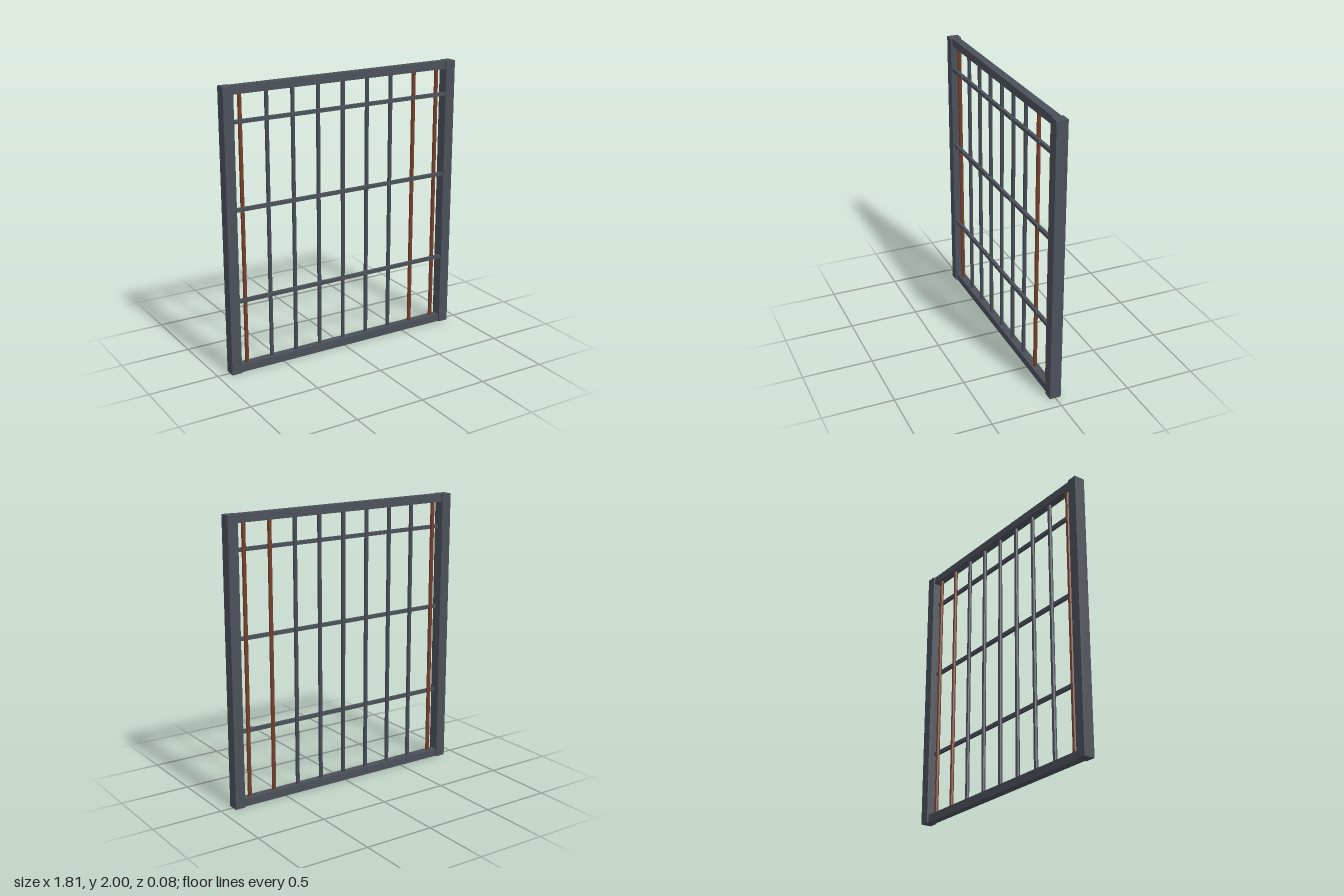
import * as THREE from 'three';

export function createModel() {
  const model = new THREE.Group();
  model.name = 'barredPanel';

  const mat = (name, color, flatShading = false) => {
    const m = new THREE.MeshStandardMaterial({ color, flatShading });
    m.name = name;
    return m;
  };
  const frameMat = mat('darkSteel', 0x4b5059);
  const barMat = mat('barSteel', 0x474c56, true);
  const rustMat = mat('rust', 0x74402b, true);

  const add = (name, geometry, material, x, y, z) => {
    const mesh = new THREE.Mesh(geometry, material);
    mesh.name = name;
    mesh.position.set(x, y, z);
    model.add(mesh);
    return mesh;
  };

  // Outer frame: two deep posts and two shallower rails
  const postGeo = new THREE.BoxGeometry(0.073, 2, 0.08);
  add('leftPost', postGeo, frameMat, 0.87, 1, 0);
  add('rightPost', postGeo, frameMat, -0.87, 1, 0);
  const railGeo = new THREE.BoxGeometry(1.68, 0.056, 0.056);
  add('topRail', railGeo, frameMat, 0, 1.972, 0);
  add('bottomRail', railGeo, frameMat, 0, 0.028, 0);

  // Nine upright bars, three of them rusted
  const barGeo = new THREE.CylinderGeometry(0.0145, 0.0145, 1.9, 8);
  const rusted = [-4, 3, 4];
  for (let i = -4; i <= 4; i++) {
    const isRusted = rusted.includes(i);
    add(isRusted ? 'rustedBar' : 'uprightBar', barGeo, isRusted ? rustMat : barMat, i * 0.1935, 1, 0);
  }

  // Flat crossbars in front of the uprights, with small rivets
  const crossGeo = new THREE.BoxGeometry(1.67, 0.025, 0.023);
  const rivetGeo = new THREE.CylinderGeometry(0.009, 0.009, 0.008, 8).rotateX(Math.PI / 2);
  for (const y of [0.525, 1.17, 1.763]) {
    add('crossbar', crossGeo, frameMat, 0, y, 0.0185);
    for (const x of [-0.65, -0.217, 0.217, 0.65]) {
      add('rivet', rivetGeo, frameMat, x, y, 0.03);
    }
  }

  return model;
}
